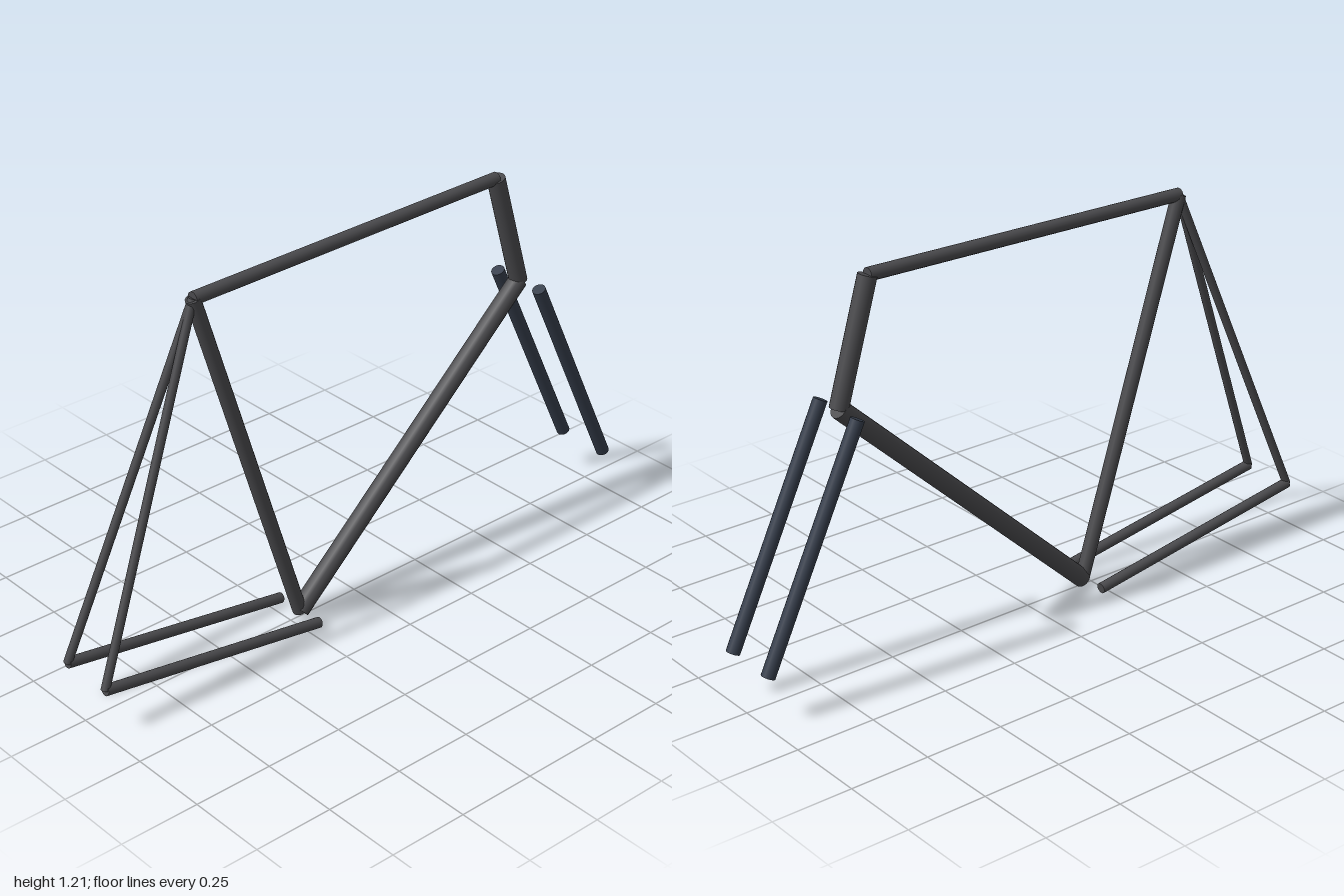
import * as THREE from 'three';

const UP = new THREE.Vector3(0, 1, 0);

// Capped round tube between two points
function tube(name, from, to, radius, material) {
  const a = new THREE.Vector3(...from);
  const b = new THREE.Vector3(...to);
  const axis = b.clone().sub(a);
  const mesh = new THREE.Mesh(new THREE.CylinderGeometry(radius, radius, axis.length(), 16), material);
  mesh.name = name;
  mesh.position.copy(a).add(b).multiplyScalar(0.5);
  mesh.quaternion.setFromUnitVectors(UP, axis.normalize());
  return mesh;
}

export function createModel() {
  const model = new THREE.Group();
  model.name = 'bicycleFrame';
  const frameMaterial = new THREE.MeshStandardMaterial({ color: 0x4a4a4d });
  const forkMaterial = new THREE.MeshStandardMaterial({ color: 0x363e4c });

  // Joints of the frame in the side plane
  const bottomBracket = [-0.215, 0.024];
  const seatCluster = [-0.573, 1.176];
  const headTop = [0.552, 1.192];
  const headBottom = [0.659, 0.828];
  const rearAxle = [-0.988, 0.146];
  const frontAxle = [0.981, 0.148];
  const at = (joint, z = 0) => [...joint, z];

  // Main triangle
  model.add(
    tube('seatTube', at(bottomBracket), at(seatCluster), 0.022, frameMaterial),
    tube('topTube', at(seatCluster), at(headTop), 0.02, frameMaterial),
    tube('downTube', at(bottomBracket), at(headBottom), 0.029, frameMaterial),
    tube('headTube', at(headTop), at(headBottom), 0.028, frameMaterial),
  );

  // Paired stays and fork blades on both sides
  for (const [side, z] of [['Front', 0.0875], ['Back', -0.0875]]) {
    model.add(
      tube('chainStay' + side, at(bottomBracket, z), at(rearAxle, z), 0.0165, frameMaterial),
      tube('seatStay' + side, at(seatCluster), at(rearAxle, z), 0.013, frameMaterial),
      tube('forkBlade' + side, at(headBottom, z), at(frontAxle, z), 0.021, forkMaterial),
    );
  }
  return model;
}
